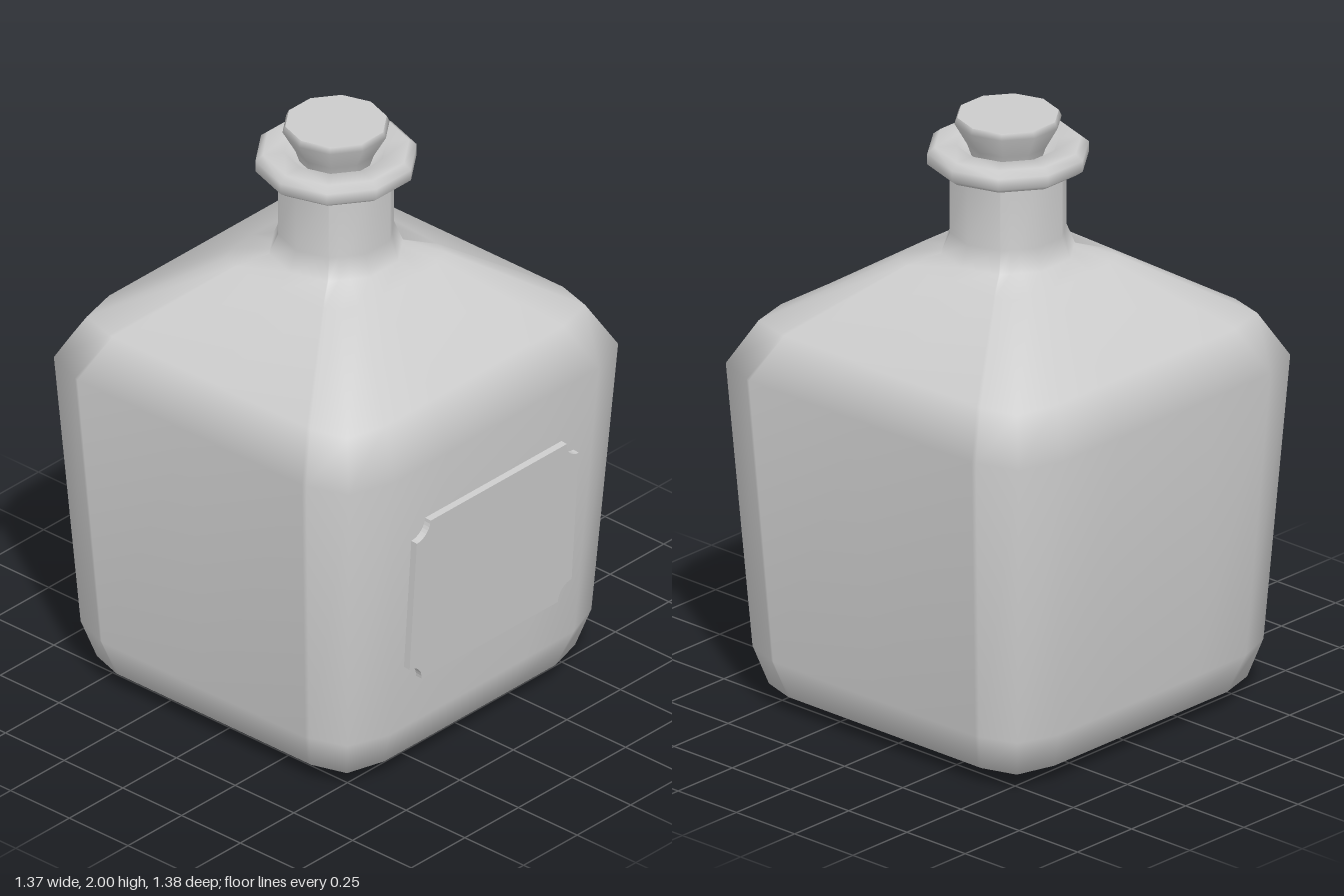
import * as THREE from 'three';

const RAD = Math.PI / 180;
const material = new THREE.MeshStandardMaterial({ color: 0xcccccc });

// Angles at which every body ring is sampled: square corners plus the ten neck corners
const angles = [];
for (let q = 0; q < 4; q++) for (const a of [35, 45, 55]) angles.push(q * 90 + a);
for (let i = 0; i < 10; i++) angles.push(i * 36);
angles.sort((a, b) => a - b);

// Radius of a square with two-step bevelled corners (half width h, flat half length f)
const square = (h, f) => (deg) => {
  let a = deg % 90;
  if (a > 45) a = 90 - a;
  const c = Math.cos(a * RAD), s = Math.sin(a * RAD);
  const side = h / c;
  if (h - f < 0.001) return side;
  const m = f + (h - f) * 0.73;
  return Math.min(side, (m * (h - f)) / ((m - f) * c + (h - m) * s));
};

// Radius of a regular decagon
const decagon = (r) => (deg) => (r * Math.cos(18 * RAD)) / Math.cos(((deg % 36) - 18) * RAD);

// Smooth surface through rings of [height, radius function]
function loft(rings) {
  const n = angles.length, pos = [], index = [];
  rings.forEach(([y, radius], j) => {
    angles.forEach((deg, i) => {
      const r = radius(deg);
      pos.push(r * Math.cos(deg * RAD), y, -r * Math.sin(deg * RAD));
      if (j === rings.length - 1) return;
      const a = j * n + i, b = j * n + ((i + 1) % n);
      if (j > 0) index.push(a, b, b + n);
      index.push(a, b + n, a + n);
    });
  });
  const g = new THREE.BufferGeometry();
  g.setAttribute('position', new THREE.Float32BufferAttribute(pos, 3));
  g.setIndex(index);
  g.computeVertexNormals();
  return g;
}

// Ten-sided turned part with a corner on the x axis
const turned = (points) => new THREE.LatheGeometry(
  points.map(([r, y]) => new THREE.Vector2(r, y)), 10, Math.PI / 2);

export function createModel() {
  const group = new THREE.Group();
  const add = (name, geometry, z = -0.005) => {
    const mesh = new THREE.Mesh(geometry, material);
    mesh.name = name;
    mesh.position.z = z;
    group.add(mesh);
    return mesh;
  };

  // Square body, sloping shoulder and neck
  add('bottleBody', loft([
    [0, () => 0],
    [0, square(0.43, 0.43)],
    [0.06, square(0.57, 0.43)],
    [0.19, square(0.62, 0.43)],
    [1.16, square(0.683, 0.48)],
    [1.305, square(0.59, 0.46)],
    [1.51, square(0.28, 0.15)],
    [1.54, decagon(0.215)],
    [1.61, decagon(0.187)],
    [1.84, decagon(0.187)],
  ]));

  // Rounded lip with a shallow recess around the cork
  add('neckLip', turned([
    [0.18, 1.83], [0.235, 1.83], [0.259, 1.848], [0.259, 1.885],
    [0.235, 1.905], [0.165, 1.905], [0.15, 1.87], [0.1, 1.865],
  ]));

  // Flared cork with a flat top
  add('cork', turned([[0.115, 1.86], [0.13, 1.905], [0.172, 1.98], [0.163, 2.0]]));
  const top = add('corkTop', new THREE.CircleGeometry(0.163, 10));
  top.rotation.x = -Math.PI / 2;
  top.position.y = 2.0;

  // Label plate with scooped corners, leaning with the front face
  const w = 0.378, h = 0.298, r = 0.06;
  const shape = new THREE.Shape();
  shape.moveTo(-w + r, -h);
  shape.lineTo(w - r, -h);
  shape.absarc(w, -h, r, Math.PI, Math.PI / 2, true);
  shape.lineTo(w, h - r);
  shape.absarc(w, h, r, -Math.PI / 2, -Math.PI, true);
  shape.lineTo(-w + r, h);
  shape.absarc(-w, h, r, 0, -Math.PI / 2, true);
  shape.lineTo(-w, -h + r);
  shape.absarc(-w, -h, r, Math.PI / 2, 0, true);
  const plate = new THREE.ExtrudeGeometry(shape, { depth: 0.04, bevelEnabled: false, curveSegments: 4 });
  plate.translate(0, 0, -0.018);
  const label = add('label', plate, 0.647);
  label.position.y = 0.66;
  label.rotation.x = Math.atan(0.065);

  return group;
}
